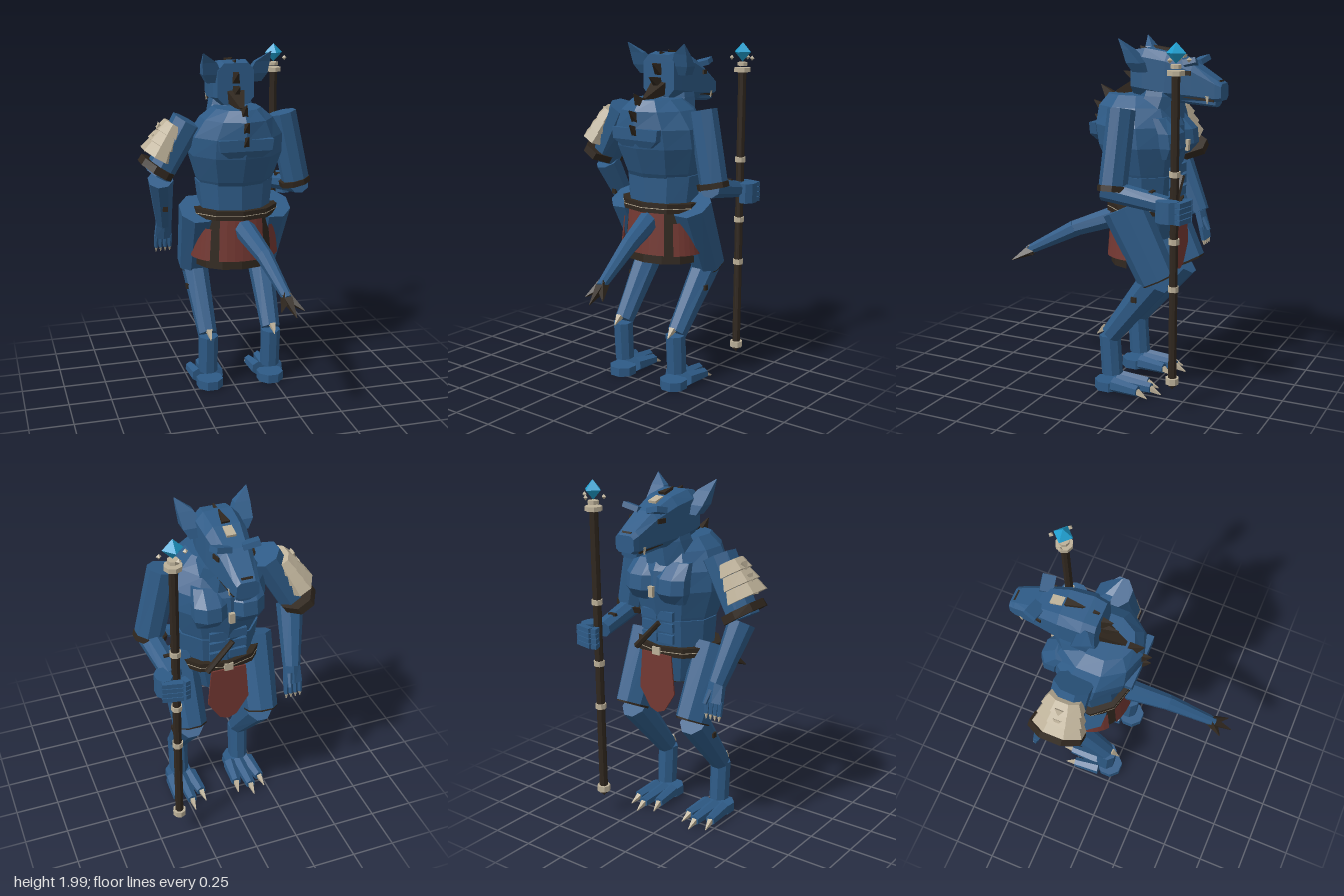
import * as THREE from 'three';

const mat = (name, color) => {
  const m = new THREE.MeshStandardMaterial({ color, flatShading: true, side: THREE.DoubleSide });
  m.name = name;
  return m;
};

// Stacked rings [x, y, z, halfWidth, halfDepth], bottom to top, capped; a lower power gives squarer rings
function loft(rings, n = 8, power = 1) {
  const pos = [], idx = [], k = 1 / Math.cos(Math.PI / n);
  const shape = v => Math.sign(v) * Math.abs(v * k) ** power;
  for (const [x, y, z, w, d] of rings)
    for (let i = 0; i < n; i++) {
      const a = ((i + 0.5) / n) * Math.PI * 2;
      pos.push(x + w * shape(Math.cos(a)), y, z + d * shape(Math.sin(a)));
    }
  const last = (rings.length - 1) * n;
  for (let r = 0; r < last; r += n)
    for (let i = 0; i < n; i++) {
      const j = (i + 1) % n;
      idx.push(r + i, r + n + i, r + j, r + j, r + n + i, r + n + j);
    }
  for (let i = 1; i < n - 1; i++) idx.push(0, i, i + 1, last, last + i + 1, last + i);
  const g = new THREE.BufferGeometry();
  g.setAttribute('position', new THREE.Float32BufferAttribute(pos, 3));
  g.setIndex(idx);
  const flat = g.toNonIndexed();
  flat.computeVertexNormals();
  return flat;
}

export function createModel() {
  const blue = mat('blue hide', 0x2e5b87), dark = mat('dark leather', 0x30271e);
  const bone = mat('bone', 0xbdb199), red = mat('red cloth', 0x743832);
  const crystal = mat('crystal', 0x1f9fd0);

  const root = new THREE.Group();
  const body = new THREE.Group();
  body.name = 'body';
  body.position.x = 0.045;
  root.add(body);

  const add = (parent, name, geo, m, p = [0, 0, 0], rot = [0, 0, 0]) => {
    const mesh = new THREE.Mesh(geo, m);
    mesh.name = name;
    mesh.position.set(...p);
    mesh.rotation.set(...rot);
    parent.add(mesh);
    return mesh;
  };
  const box = (parent, name, m, size, p, rot) => add(parent, name, new THREE.BoxGeometry(...size), m, p, rot);
  // Tapered segment between two points, with [halfWidth, halfDepth] at each end
  const limb = (parent, name, m, a, b, ra, rb, n = 8) => {
    if (b[1] < a[1]) [a, b, ra, rb] = [b, a, rb, ra];
    const va = new THREE.Vector3(...a), dir = new THREE.Vector3(...b).sub(va), len = dir.length();
    const mesh = add(parent, name, loft([[0, 0, 0, ...ra], [0, len, 0, ...rb]], n), m, a);
    mesh.quaternion.setFromUnitVectors(new THREE.Vector3(0, 1, 0), dir.normalize());
  };
  const spike = (parent, name, m, a, b, r, r2 = r) => limb(parent, name, m, a, b, [r, r2], [0.002, 0.002], 4);

  // Torso
  add(body, 'abdomen', loft([[0, 0.88, -0.18, 0.14, 0.13], [0, 1.06, -0.18, 0.2, 0.17], [0, 1.255, -0.19, 0.222, 0.185]], 10), blue);
  add(body, 'chest', loft([[0, 1.22, -0.19, 0.2, 0.17], [0, 1.27, -0.18, 0.22, 0.19], [0, 1.42, -0.165, 0.265, 0.235],
    [0, 1.53, -0.15, 0.26, 0.24], [0, 1.63, -0.13, 0.2, 0.215], [0, 1.69, -0.12, 0.13, 0.16]], 10), blue);
  add(body, 'neck', loft([[0, 1.56, -0.22, 0.15, 0.16], [0, 1.69, -0.27, 0.12, 0.12], [0, 1.8, -0.28, 0.09, 0.1]]), blue);
  add(body, 'backPlate', loft([[0, 1.43, 0.066, 0.1, 0.012], [0, 1.47, 0.075, 0.15, 0.022], [0, 1.535, 0.078, 0.16, 0.02]], 4), blue);
  for (const s of [-1, 1]) {
    add(body, 'pectoral', loft([[s * 0.1, 1.36, -0.36, 0.075, 0.03], [s * 0.1, 1.42, -0.37, 0.095, 0.07],
      [s * 0.1, 1.5, -0.36, 0.095, 0.07], [s * 0.1, 1.58, -0.31, 0.08, 0.04]]), blue);
    for (let i = 0; i < 3; i++) box(body, 'bellyMuscle', blue, [0.1, 0.05, 0.02], [s * 0.055, 1.15 + i * 0.065, -0.37]);
  }

  // Head, lofted forward along -z
  const head = loft([[0, 0.13, 1.815, 0.108, 0.118], [0, 0.2, 1.815, 0.118, 0.13], [0, 0.33, 1.795, 0.112, 0.13],
    [0, 0.47, 1.765, 0.088, 0.1], [0, 0.6, 1.725, 0.068, 0.06], [0, 0.632, 1.72, 0.06, 0.045]], 8, 0.5);
  add(body, 'head', head.rotateX(-Math.PI / 2), blue);
  limb(body, 'lowerJaw', blue, [0, 1.69, -0.35], [0, 1.66, -0.6], [0.075, 0.035], [0.05, 0.022]);
  box(body, 'nose', dark, [0.06, 0.03, 0.03], [0, 1.765, -0.605], [0.3, 0, 0]);
  for (const s of [-1, 1]) {
    // Broad thin ear: a slanted quad that narrows to its outer tip
    add(body, 'ear', loft([[s * 0.115, 1.82, -0.2, 0.045, 0.035], [s * 0.135, 1.87, -0.18, 0.055, 0.04],
      [s * 0.155, 1.94, -0.14, 0.042, 0.02], [s * 0.197, 1.998, -0.1, 0.002, 0.002]], 4), blue);
    box(body, 'brow', blue, [0.09, 0.03, 0.07], [s * 0.08, 1.875, -0.465], [0.25, s * 0.25, s * 0.2]);
    box(body, 'eye', dark, [0.008, 0.025, 0.05], [s * 0.1, 1.82, -0.45], [0, s * 0.2, 0]);
    box(body, 'mouthLine', dark, [0.008, 0.012, 0.17], [s * 0.071, 1.685, -0.51], [-0.12, s * 0.12, 0]);
    spike(body, 'tooth', bone, [s * 0.066, 1.7, -0.56], [s * 0.07, 1.66, -0.56], 0.01);
  }
  box(body, 'foreheadPlate', bone, [0.05, 0.02, 0.07], [0, 1.906, -0.37], [-0.25, 0, 0]);

  // Mane and back spikes: [base y, base z, tip y, tip z]
  for (const [y, z, ty, tz] of [[1.91, -0.31, 1.955, -0.22], [1.9, -0.2, 1.95, -0.14], [1.85, -0.14, 1.885, -0.07],
    [1.77, -0.14, 1.81, -0.04], [1.66, 0.03, 1.73, 0.1], [1.58, 0.06, 1.64, 0.145], [1.5, 0.06, 1.56, 0.14]])
    spike(body, 'maneSpike', dark, [0, y, z], [0, ty, tz], 0.022, 0.035);
  limb(body, 'neckMane', dark, [0, 1.75, -0.16], [0, 1.69, 0.0], [0.055, 0.04], [0.012, 0.01], 4);

  // Legs and clawed feet
  for (const s of [-1, 1]) {
    const leg = new THREE.Group();
    leg.name = 'leg';
    body.add(leg);
    limb(leg, 'thigh', blue, [s * 0.225, 1.09, -0.15], [s * 0.215, 0.7, -0.345], [0.105, 0.12], [0.088, 0.105]);
    limb(leg, 'kneeBand', dark, [s * 0.215, 0.703, -0.3435], [s * 0.215, 0.691, -0.3495], [0.087, 0.103], [0.085, 0.1]);
    limb(leg, 'shin', blue, [s * 0.21, 0.69, -0.33], [s * 0.197, 0.335, -0.055], [0.075, 0.085], [0.053, 0.055]);
    spike(leg, 'heelSpur', bone, [s * 0.197, 0.37, -0.015], [s * 0.197, 0.325, 0.035], 0.017);
    box(leg, 'shinStud', dark, [0.02, 0.03, 0.03], [s * 0.275, 0.585, -0.23]);
    limb(leg, 'ankle', blue, [s * 0.195, 0.1, -0.06], [s * 0.195, 0.33, -0.045], [0.053, 0.056], [0.055, 0.056]);
    add(leg, 'heel', loft([[s * 0.19, 0.005, -0.035, 0.075, 0.076], [s * 0.19, 0.058, -0.035, 0.075, 0.076]]), blue);
    for (const t of [-1, 0, 1]) {
      const x = s * 0.19 + t * 0.058, tx = s * 0.19 + t * 0.075, reach = t ? 0.25 : 0.3;
      limb(leg, 'toe', blue, [x, 0.053, -0.09], [tx, 0.045, -reach], [0.036, 0.038], [0.026, 0.027], 6);
      spike(leg, 'toeClaw', bone, [tx, 0.045, -reach + 0.01], [tx + t * 0.01, 0.015, -reach - 0.06], 0.016);
    }
  }

  // Tail
  limb(root, 'tailBase', blue, [0.055, 1.0, -0.05], [0.11, 0.895, 0.24], [0.062, 0.062], [0.045, 0.045]);
  limb(root, 'tailEnd', blue, [0.11, 0.897, 0.235], [0.155, 0.74, 0.53], [0.045, 0.047], [0.026, 0.026]);
  for (const tip of [[0.1, 0.69, 0.59], [0.17, 0.67, 0.64], [0.228, 0.69, 0.6]])
    spike(root, 'tailSpike', dark, [0.153, 0.745, 0.51], tip, 0.026);

  // Belt, skirt and loincloth
  for (const y of [1.062, 1.09]) add(body, 'belt', loft([[0, y - 0.015, -0.18, 0.245, 0.2], [0, y + 0.011, -0.18, 0.245, 0.2]], 10), dark);
  add(body, 'beltLace', loft([[0, 1.072, -0.18, 0.246, 0.201], [0, 1.076, -0.18, 0.246, 0.201]], 10), bone);
  box(body, 'buckle', bone, [0.05, 0.045, 0.02], [0, 1.075, -0.385]);
  const panel = (name, m, r, y0, y1, t0, t1) => {
    const g = new THREE.CylinderGeometry(r - 0.02, r, y1 - y0, 6, 1, true, t0, t1 - t0).scale(1, 1, 0.8);
    add(body, name, g, m, [0, (y0 + y1) / 2, -0.18]);
  };
  panel('leatherSkirt', dark, 0.236, 0.745, 1.06, -1.5, 1.5);
  panel('backCloth', red, 0.258, 0.8, 1.06, -0.56, 0.56);
  for (const s of [-1, 1]) panel('sideCloth', red, 0.266, 0.8, 0.99, s < 0 ? -1.65 : 0.78, s < 0 ? -0.78 : 1.65);
  const cloth = new THREE.Shape([[-0.1, 1.06], [0.1, 1.06], [0.12, 0.84], [0.05, 0.73], [0, 0.71], [-0.05, 0.73], [-0.12, 0.84]]
    .map(p => new THREE.Vector2(...p)));
  add(body, 'loincloth', new THREE.ExtrudeGeometry(cloth, { depth: 0.009, bevelEnabled: false }), red, [0, 0, -0.39]);
  limb(body, 'daggerSheath', dark, [0.13, 1.08, -0.4], [-0.02, 1.24, -0.39], [0.016, 0.016], [0.013, 0.013], 6);
  box(body, 'pendant', bone, [0.03, 0.06, 0.02], [0, 1.42, -0.425]);

  // Armoured arm, hanging down
  const armA = new THREE.Group();
  armA.name = 'armouredArm';
  root.add(armA);
  limb(armA, 'upperArm', blue, [-0.23, 1.61, -0.18], [-0.405, 1.3, -0.2], [0.085, 0.1], [0.078, 0.1]);
  for (let i = 0; i < 3; i++) {
    const x = -0.312 - i * 0.036, y = 1.595 - i * 0.061;
    limb(armA, 'shoulderPlate', bone, [x, y, -0.19], [x - 0.035, y - 0.058, -0.19],
      [0.05 + i * 0.01, 0.085 + i * 0.015], [0.07 + i * 0.009, 0.115 + i * 0.014]);
    spike(armA, 'plateTip', bone, [x - 0.07, y - 0.01, -0.19], [x - 0.1, y - 0.03, -0.19], 0.025);
  }
  limb(armA, 'elbowCuff', dark, [-0.4, 1.357, -0.21], [-0.424, 1.32, -0.21], [0.1, 0.15], [0.1, 0.155]);
  limb(armA, 'forearm', blue, [-0.39, 1.27, -0.2], [-0.345, 0.96, -0.36], [0.07, 0.075], [0.045, 0.05]);
  box(armA, 'forearmStud', dark, [0.03, 0.03, 0.03], [-0.36, 1.08, -0.232]);
  limb(armA, 'palm', blue, [-0.345, 0.965, -0.36], [-0.345, 0.86, -0.39], [0.045, 0.028], [0.052, 0.025], 6);
  for (let i = 0; i < 4; i++) {
    const x = -0.387 + i * 0.028;
    limb(armA, 'finger', blue, [x, 0.875, -0.385], [x, 0.795, -0.4], [0.013, 0.016], [0.011, 0.013], 6);
    spike(armA, 'fingerClaw', bone, [x, 0.8, -0.4], [x, 0.765, -0.405], 0.009);
  }
  limb(armA, 'thumb', blue, [-0.32, 0.93, -0.39], [-0.31, 0.86, -0.43], [0.015, 0.015], [0.011, 0.011], 6);

  // Staff arm, bent forward
  const armB = new THREE.Group();
  armB.name = 'staffArm';
  root.add(armB);
  limb(armB, 'upperArm', blue, [0.33, 1.635, -0.16], [0.42, 1.22, -0.15], [0.08, 0.068], [0.077, 0.07]);
  limb(armB, 'elbowCuff', dark, [0.41, 1.235, -0.15], [0.417, 1.203, -0.15], [0.088, 0.078], [0.088, 0.078]);
  limb(armB, 'forearm', blue, [0.425, 1.215, -0.1], [0.385, 1.15, -0.45], [0.06, 0.055], [0.052, 0.045]);
  box(armB, 'forearmStud', dark, [0.05, 0.015, 0.02], [0.38, 1.215, -0.36]);
  limb(armB, 'palm', blue, [0.445, 1.075, -0.475], [0.445, 1.19, -0.475], [0.045, 0.06], [0.045, 0.06]);
  for (let i = 0; i < 4; i++) {
    const y = 1.085 + i * 0.03;
    box(armB, 'finger', blue, [0.11, 0.026, 0.036], [0.42, y, -0.55], [0, -0.2, 0]);
    box(armB, 'fingerTip', blue, [0.03, 0.026, 0.05], [0.348, y, -0.548], [0, 0.3, 0]);
  }

  // Staff with bone rings and a crystal
  const staff = new THREE.Group();
  staff.name = 'staff';
  staff.position.set(0.38, 0, -0.487);
  root.add(staff);
  add(staff, 'shaft', new THREE.CylinderGeometry(0.024, 0.024, 1.69, 8), dark, [0, 0.995, 0]);
  for (const [y, r, h] of [[0.18, 0.038, 0.035], [0.7, 0.031, 0.03], [0.96, 0.031, 0.03], [1.32, 0.031, 0.03], [1.842, 0.048, 0.025], [1.875, 0.03, 0.02]])
    add(staff, 'ring', new THREE.CylinderGeometry(r, r, h, 8), bone, [0, y, 0]);
  spike(staff, 'foot', dark, [0, 0.165, 0], [0, 0.13, 0], 0.02);
  add(staff, 'crystal', new THREE.OctahedronGeometry(0.055), crystal, [0, 1.943, 0]);
  for (const a of [0.1, 3.0, 4.6])
    add(staff, 'shard', new THREE.OctahedronGeometry(0.015), bone, [0.068 * Math.cos(a), 1.91, 0.068 * Math.sin(a)]);
  return root;
}
